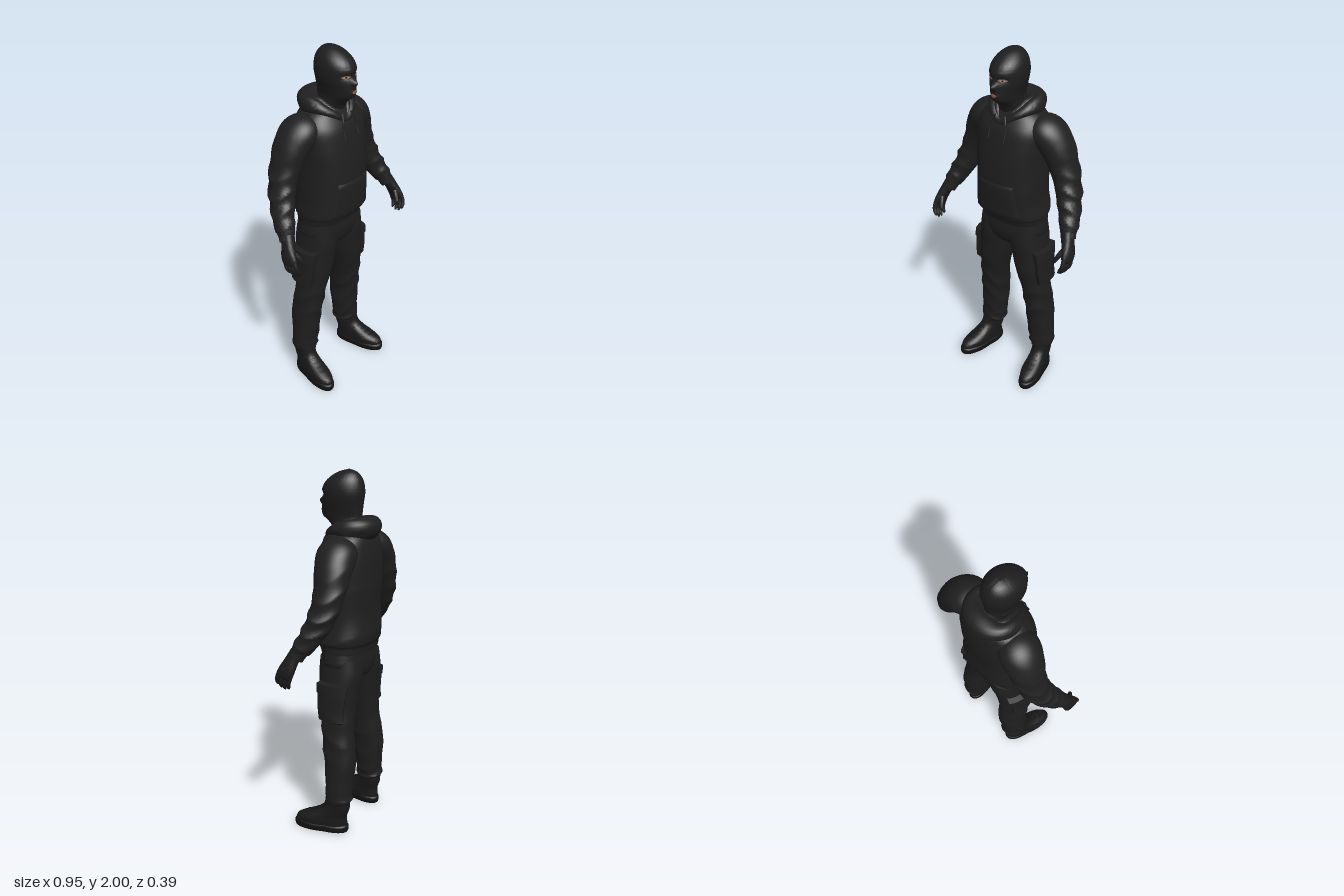
import * as THREE from 'three';
import { mergeVertices, toCreasedNormals } from 'three/addons/utils/BufferGeometryUtils.js';

const { sin, cos, PI, abs, sign, min, max, exp, sqrt } = Math;
const V3 = (x, y, z) => new THREE.Vector3(x, y, z);
const mat = (name, color) => {
  const m = new THREE.MeshStandardMaterial({ color });
  m.name = name;
  return m;
};

// Grid surface from fn(u, v); side = -1 mirrors it across x
function grid(fn, nu, nv, side = 1) {
  const pos = [], index = [];
  for (let j = 0; j <= nv; j++) for (let i = 0; i <= nu; i++) {
    const p = fn(i / nu, j / nv, j);
    pos.push(p.x * side, p.y, p.z);
  }
  for (let j = 0; j < nv; j++) for (let i = 0; i < nu; i++) {
    const a = j * (nu + 1) + i, b = a + 1, c = a + nu + 1, d = c + 1;
    if (side > 0) index.push(a, c, b, b, c, d);
    else index.push(a, b, c, b, d, c);
  }
  const g = new THREE.BufferGeometry();
  g.setAttribute('position', new THREE.Float32BufferAttribute(pos, 3));
  g.setIndex(index);
  return toCreasedNormals(mergeVertices(g, 1e-5), 0.9);
}

// Smooth skin through rings [x, y, z, radiusAcross, radiusDeep]; returns point(t, angle, offset).
// Angle 0 is the +x side and PI/2 the front when the rings are flat.
function skin(rings, { n = 2, flat = true, fold = () => 0, warp = p => p } = {}) {
  const path = new THREE.CatmullRomCurve3(rings.map(r => V3(r[0], r[1], r[2])), false, 'catmullrom');
  const size = new THREE.CatmullRomCurve3(rings.map(r => V3(r[3], r[4], 0)), false, 'catmullrom');
  return (t, a, off = 0, scale = 1) => {
    const c = path.getPoint(t), s = size.getPoint(t);
    const T = flat ? V3(0, 1, 0) : path.getTangent(t);
    const V = V3(0, 0, 1).addScaledVector(T, -T.z).normalize();
    const U = T.clone().cross(V);
    const round = k => sign(k) * abs(k) ** (2 / n);
    const o = off + fold(t, a);
    c.addScaledVector(U, (s.x + o) * round(cos(a)) * scale);
    c.addScaledVector(V, (s.y + o) * round(sin(a)) * scale);
    return warp(c);
  };
}

// Closed body of a skin
const solid = (s, nu, nv, side) => grid((u, v, j) => {
  const t = min(1, max(0, (j - 1) / (nv - 2)));
  return s(t, u * 2 * PI, 0, j === 0 || j === nv ? 0 : 1);
}, nu, nv, side);

// Raised panel lying on a skin: centre angle, half widths at bottom and top, span t0..t1
function panel(s, mid, w0, w1, t0, t1, h, side, lens = false) {
  return grid((u, v) => {
    const edge = min(u, 1 - u, v, 1 - v);
    const off = lens ? h : -0.003 + (h + 0.003) * min(1, edge * 12);
    const vv = lens ? 0.5 + (v - 0.5) * sin(PI * u) ** 0.7 : v;
    const w = w0 + (w1 - w0) * v;
    return s(t0 + (t1 - t0) * vv, mid + (u * 2 - 1) * w, off);
  }, 24, 24, side);
}

// Cloth creases wandering around a limb
const crease = (t, a, f, ph) =>
  (1 - 2 * abs(sin(f * t + 1.3 * sin(a + ph) + 0.6 * sin(2 * a - ph)))) * (0.55 + 0.45 * sin(a + 5 * t + ph));

export function createModel() {
  const model = new THREE.Group();
  model.name = 'maskedFigure';
  const M = {
    hoodie: mat('hoodieBlack', 0x1f1f1f), pants: mat('trouserBlack', 0x1e1e1e),
    mask: mat('maskBlack', 0x1d1d1d), glove: mat('gloveBlack', 0x1c1c1c),
    boot: mat('bootBlack', 0x191919), sole: mat('soleBlack', 0x131313),
    skin: mat('skin', 0x9a6650), lip: mat('lip', 0x8a4a45),
    white: mat('eyeWhite', 0xb8aca4), iris: mat('iris', 0x2a1a12),
  };
  const add = (name, geo, m) => {
    const mesh = new THREE.Mesh(geo, m);
    mesh.name = name;
    model.add(mesh);
  };

  // Hoodie body, hem rib at the bottom
  const torso = skin([
    [0, 1.05, -0.028, 0.198, 0.13], [0, 1.09, -0.024, 0.202, 0.142], [0, 1.11, -0.018, 0.208, 0.161],
    [0, 1.2, -0.015, 0.199, 0.166], [0, 1.3, -0.013, 0.196, 0.167], [0, 1.42, -0.018, 0.198, 0.166],
    [0, 1.52, -0.025, 0.204, 0.158], [0, 1.6, -0.03, 0.2, 0.143], [0, 1.66, -0.04, 0.168, 0.118],
    [0, 1.7, -0.04, 0.11, 0.09], [0, 1.73, -0.035, 0.06, 0.05],
  ], { n: 2.35, fold: (t, a) => 0.004 * crease(t, a, 13, 1) * exp(-(((t - 0.3) / 0.22) ** 2)) });
  add('hoodieBody', solid(torso, 72, 80), M.hoodie);
  add('frontPocket', panel(torso, PI / 2, 0.8, 0.58, 0.2, 0.415, 0.006), M.hoodie);

  // Hood lying round the neck: outer roll and inner lip
  const hood = (rx, rf, rb, lift, thick) => grid((u, v) => {
    const f = u * 2 * PI, q = -v * 2 * PI, c = cos(f), s = sin(f), k = (1 - c) / 2;
    const ripple = 0.004 * sin(7 * k + 3 * q) * k;
    const a = (0.02 + 0.038 * k) * thick + ripple, b = (0.02 + 0.045 * k) * thick + ripple;
    const r = a * cos(q);
    const dip = 0.03 * exp(-((min(u, 1 - u) * 2 * PI / 0.4) ** 2));
    return V3((rx + r) * s, 1.66 + lift + 0.046 * sin(min(1, k * 2) * PI / 2) - dip + b * sin(q),
      -0.035 + ((c > 0 ? rf : rb) + r) * c);
  }, 72, 24);
  add('hood', hood(0.112, 0.115, 0.098, 0, 1), M.hoodie);
  add('hoodInnerLip', hood(0.082, 0.105, 0.07, 0.012, 0.7), M.hoodie);

  // Balaclava with brow, nose and chin shaped from the head
  const head = skin([
    [0, 1.62, -0.02, 0.075, 0.075], [0, 1.7, -0.015, 0.072, 0.085], [0, 1.735, 0.002, 0.066, 0.098],
    [0, 1.762, 0.02, 0.066, 0.114], [0, 1.8, 0.02, 0.074, 0.116], [0, 1.84, 0.016, 0.085, 0.116],
    [0, 1.88, 0.012, 0.09, 0.117], [0, 1.92, 0.01, 0.086, 0.112], [0, 1.955, 0, 0.071, 0.09],
    [0, 1.985, -0.012, 0.041, 0.052], [0, 2, -0.02, 0.004, 0.004],
  ], { warp: p => {
    if (p.z > 0.03) {
      const bump = (x, y, sx, sy) => exp(-(((abs(p.x) - x) / sx) ** 2) - (((p.y - y) / sy) ** 2));
      p.z += 0.026 * bump(0, 1.835, 0.016, 0.02) + 0.006 * bump(0, 1.79, 0.025, 0.012)
        + 0.006 * bump(0, 1.895, 0.06, 0.012) - 0.008 * bump(0.037, 1.866, 0.022, 0.014);
    }
    return p;
  } });
  add('balaclava', solid(head, 72, 70), M.mask);
  add('mouth', panel(head, PI / 2, 0.24, 0.24, 0.352, 0.398, 0.002, 1, true), M.skin);
  add('lips', panel(head, PI / 2, 0.18, 0.18, 0.362, 0.388, 0.004, 1, true), M.lip);

  // Seat of the trousers
  const seat = skin([
    [0, 0.88, -0.03, 0.07, 0.07], [0, 0.92, -0.03, 0.15, 0.112], [0, 0.98, -0.028, 0.2, 0.126],
    [0, 1.03, -0.027, 0.2, 0.124], [0, 1.08, -0.027, 0.19, 0.12],
  ], { n: 2.3 });
  add('trouserSeat', solid(seat, 56, 24), M.pants);

  const sleeve = skin([
    [0.12, 1.6, -0.045, 0.07, 0.09], [0.19, 1.585, -0.055, 0.088, 0.108], [0.245, 1.52, -0.065, 0.086, 0.1],
    [0.285, 1.43, -0.07, 0.076, 0.088], [0.322, 1.34, -0.062, 0.069, 0.078], [0.352, 1.26, -0.038, 0.065, 0.07],
    [0.382, 1.19, -0.005, 0.057, 0.06], [0.405, 1.135, 0.03, 0.049, 0.052], [0.408, 1.125, 0.035, 0.041, 0.043],
    [0.42, 1.09, 0.055, 0.039, 0.041],
  ], { flat: false, fold: (t, a) => 0.006 * crease(t, a, 26, 2) * exp(-(((t - 0.55) / 0.25) ** 2)) });

  const palm = skin([
    [0.413, 1.12, 0.05, 0.033, 0.036], [0.43, 1.08, 0.07, 0.03, 0.036], [0.449, 1.03, 0.09, 0.025, 0.045],
    [0.455, 0.995, 0.105, 0.019, 0.046], [0.453, 0.98, 0.111, 0.01, 0.036],
  ], { flat: false, n: 2.3 });

  const leg = skin([
    [0.19, 0.17, -0.06, 0.058, 0.065], [0.187, 0.2, -0.062, 0.073, 0.076], [0.184, 0.24, -0.06, 0.075, 0.074],
    [0.176, 0.32, -0.06, 0.077, 0.08], [0.17, 0.42, -0.06, 0.077, 0.09], [0.162, 0.52, -0.048, 0.079, 0.092],
    [0.152, 0.62, -0.036, 0.08, 0.092], [0.132, 0.74, -0.027, 0.09, 0.103], [0.118, 0.84, -0.028, 0.099, 0.111],
    [0.105, 0.93, -0.03, 0.1, 0.122], [0.1, 1.02, -0.028, 0.094, 0.116],
  ], { n: 2.15, fold: (t, a) => 0.006 * crease(t, a, 24, 4)
    * (exp(-((t / 0.25) ** 2)) + 0.7 * exp(-(((t - 0.52) / 0.15) ** 2))) });

  // Boots turn slightly outwards and narrow at the arch
  const place = p => {
    p.x *= 0.9 + 0.1 * min(1, abs(p.z - 0.01) / 0.08);
    return p.applyAxisAngle(V3(0, 1, 0), 0.19).add(V3(0.205, 0, 0));
  };
  const boot = skin([
    [0, 0.03, 0.04, 0.057, 0.154], [0, 0.065, 0.036, 0.06, 0.149], [0, 0.09, 0.014, 0.057, 0.125],
    [0, 0.115, -0.02, 0.055, 0.098], [0, 0.15, -0.05, 0.054, 0.078], [0, 0.2, -0.058, 0.055, 0.068],
    [0, 0.23, -0.058, 0.05, 0.06],
  ], { n: 2.2, warp: place });
  const sole = skin([
    [0, 0, 0.04, 0.057, 0.157], [0, 0.01, 0.04, 0.061, 0.16], [0, 0.034, 0.04, 0.061, 0.16],
    [0, 0.042, 0.04, 0.055, 0.152],
  ], { n: 2.3, warp: place });

  for (const side of [1, -1]) {
    const L = side > 0 ? 'left' : 'right';

    // Eye opening
    add(L + 'EyeOpening', panel(head, 1.13, 0.27, 0.27, 0.548, 0.592, 0.002, side, true), M.skin);
    add(L + 'Eye', panel(head, 1.14, 0.16, 0.16, 0.558, 0.582, 0.0035, side, true), M.white);
    add(L + 'Iris', panel(head, 1.15, 0.06, 0.06, 0.558, 0.582, 0.005, side, true), M.iris);

    // Drawstring
    const string = new THREE.CatmullRomCurve3([[0.03, 1.67, 0.09], [0.045, 1.64, 0.106],
      [0.05, 1.6, 0.113], [0.052, 1.545, 0.13]].map(p => V3(p[0] * side, p[1], p[2])));
    add(L + 'Drawstring', new THREE.TubeGeometry(string, 16, 0.0045, 8), M.hoodie);

    // Arm and gloved hand
    add(L + 'Sleeve', solid(sleeve, 48, 90, side), M.hoodie);
    add(L + 'Palm', solid(palm, 28, 20, side), M.glove);
    for (let i = 0; i < 4; i++) {
      const k = 0.034 - 0.0235 * i, len = [0.95, 1.05, 1, 0.8][i];
      const at = (x, y, z, r) => [0.455 + x * len, 0.995 + 0.37 * k + y * len, 0.105 + 0.93 * k + z * len, r, r];
      const finger = skin([at(0, 0.01, -0.003, 0.012), at(0.001, -0.035, 0.013, 0.0115),
        at(-0.012, -0.062, 0.019, 0.0095), at(-0.021, -0.076, 0.021, 0.004)], { flat: false });
      add(L + 'Finger' + (i + 1), solid(finger, 12, 14, side), M.glove);
    }
    const thumb = skin([[0.44, 1.06, 0.09, 0.016, 0.016], [0.42, 1.025, 0.122, 0.014, 0.014],
      [0.407, 0.995, 0.14, 0.011, 0.011], [0.4, 0.975, 0.147, 0.004, 0.004]], { flat: false });
    add(L + 'Thumb', solid(thumb, 12, 14, side), M.glove);

    // Trouser leg with cargo pocket and flap
    add(L + 'TrouserLeg', solid(leg, 52, 100, side), M.pants);
    add(L + 'CargoPocket', panel(leg, -0.05, 0.72, 0.76, 0.64, 0.81, 0.026, side), M.pants);
    add(L + 'CargoFlap', panel(leg, -0.05, 0.8, 0.78, 0.79, 0.86, 0.03, side), M.pants);

    // Boot, sole and laces
    add(L + 'Boot', solid(boot, 48, 30, side), M.boot);
    add(L + 'Sole', solid(sole, 48, 12, side), M.sole);
    for (let i = 0; i < 4; i++) {
      const t = 0.36 + i * 0.08;
      add(L + 'Lace' + (i + 1), panel(boot, PI / 2, 0.4, 0.4, t, t + 0.03, 0.004, side), M.sole);
    }
  }
  return model;
}
